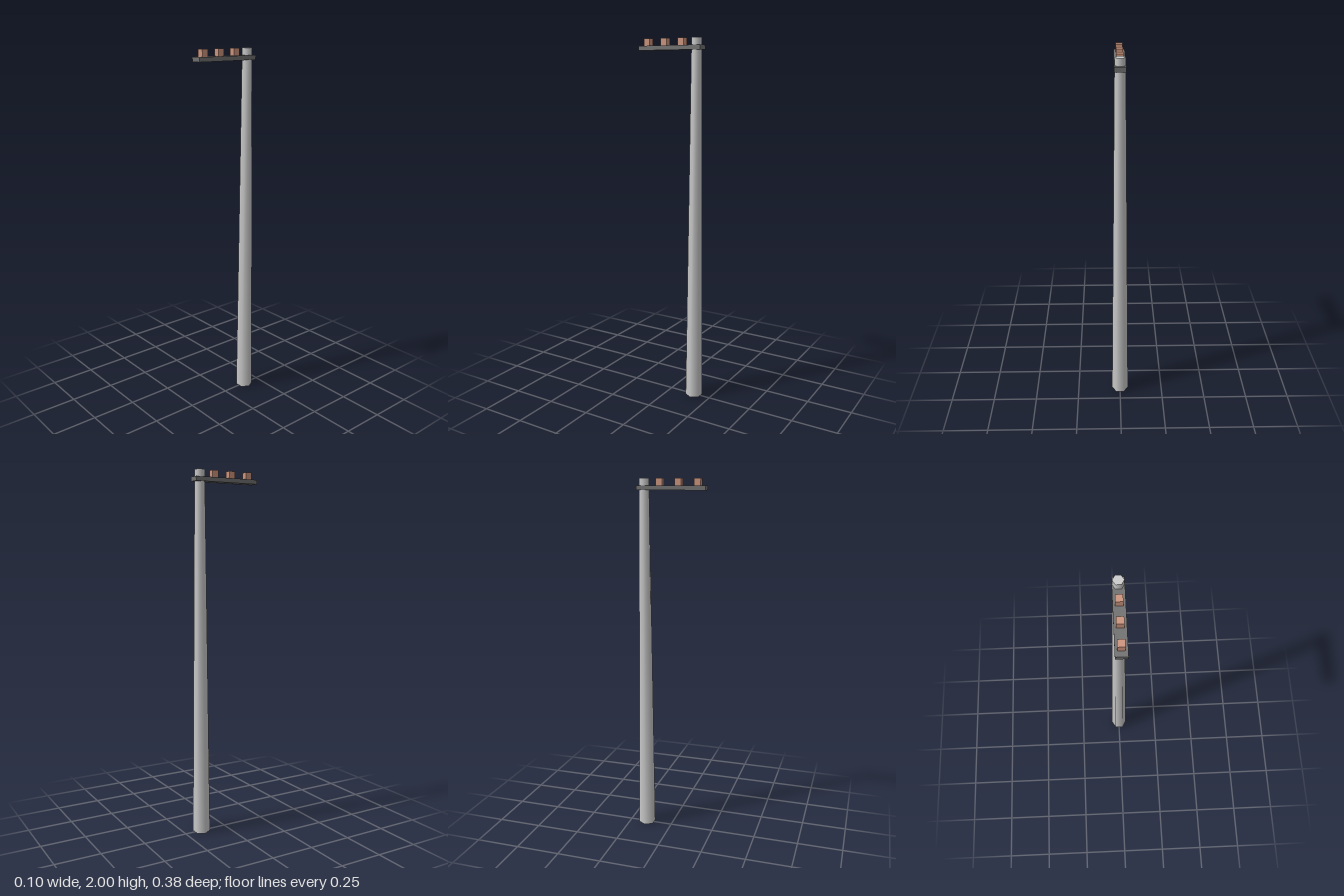
import * as THREE from 'three';

export function createModel() {
  const group = new THREE.Group();
  const add = (name, geometry, color, x, y, z) => {
    const mesh = new THREE.Mesh(geometry, new THREE.MeshStandardMaterial({ color }));
    mesh.name = name;
    mesh.position.set(x, y, z);
    group.add(mesh);
    return mesh;
  };

  // Tapered six-sided pole, corners pointing to the sides
  const pole = add('pole', new THREE.CylinderGeometry(0.027, 0.048, 2, 6), 0xcccccc, 0, 1, -0.15);
  pole.rotation.y = Math.PI / 6;

  // Crossarm reaching forward from the pole top
  add('crossarm', new THREE.BoxGeometry(0.058, 0.024, 0.378), 0x707070, 0, 1.95, 0.003);

  // Row of insulator blocks on the crossarm
  const block = new THREE.BoxGeometry(0.035, 0.038, 0.036);
  [-0.063, 0.041, 0.146].forEach((z, i) => add(`insulator${i + 1}`, block, 0xcc947d, 0, 1.981, z));

  return group;
}
